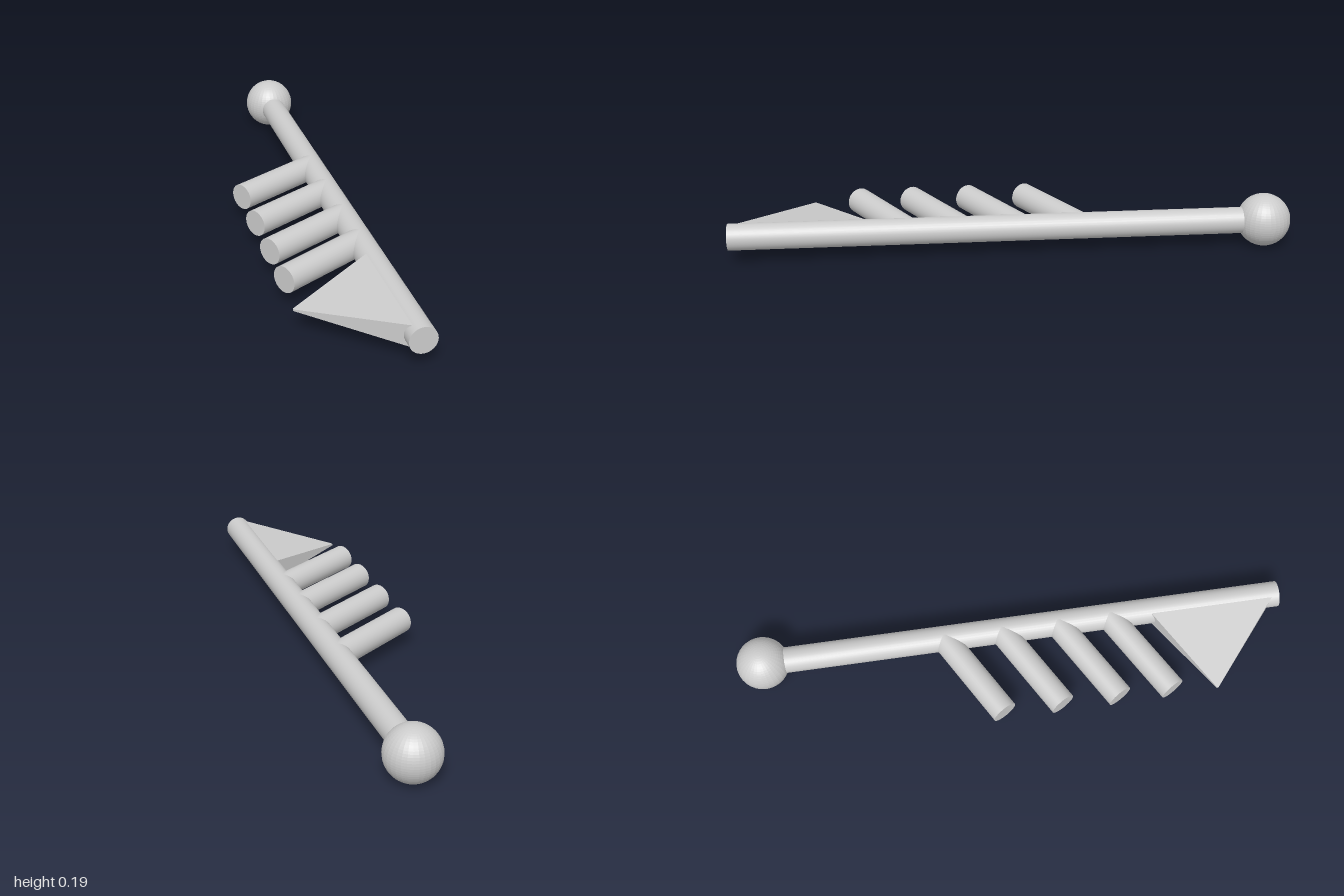
import * as THREE from 'three';

const X = 0.12, Y = 0.096, R = 0.047;

export function createModel() {
  const group = new THREE.Group();
  const smooth = new THREE.MeshStandardMaterial({ color: 0xcccccc });
  const flat = new THREE.MeshStandardMaterial({ color: 0xcccccc, flatShading: true });

  const add = (name, geometry, material) => {
    const mesh = new THREE.Mesh(geometry, material);
    mesh.name = name;
    group.add(mesh);
    return mesh;
  };

  // Round bar between two points
  const rod = (name, from, to) => {
    const dir = to.clone().sub(from);
    const mesh = add(name, new THREE.CylinderGeometry(R, R, dir.length(), 32), smooth);
    mesh.position.copy(from).lerp(to, 0.5);
    mesh.quaternion.setFromUnitVectors(new THREE.Vector3(0, 1, 0), dir.normalize());
  };

  // Long shaft with a ball at its back end
  rod('shaft', new THREE.Vector3(X, Y, -0.9), new THREE.Vector3(X, Y, 1));
  add('ball', new THREE.SphereGeometry(0.095, 32, 32), flat).position.set(X, Y, -0.905);

  // Four slanted pegs on the right side, 30 degrees forward
  const reach = 0.312;
  [-0.061, 0.15, 0.358, 0.55].forEach((z, i) => {
    rod('peg' + (i + 1),
      new THREE.Vector3(X, Y, z - reach * Math.tan(Math.PI / 6)),
      new THREE.Vector3(X - reach, Y, z));
  });

  // Fin: a box whose outer end tapers almost to a point
  const fin = new THREE.BoxGeometry(1, 1, 1);
  const p = fin.attributes.position;
  for (let i = 0; i < p.count; i++) {
    const outer = p.getX(i) < 0, up = p.getY(i) > 0, front = p.getZ(i) > 0;
    if (outer) p.setXYZ(i, -0.206, up ? 0.087 : 0.081, front ? 0.718 : 0.712);
    else p.setXYZ(i, X, up ? 0.139 : 0.055, front ? 0.993 : 0.505);
  }
  fin.computeVertexNormals();
  add('fin', fin, flat);

  return group;
}
